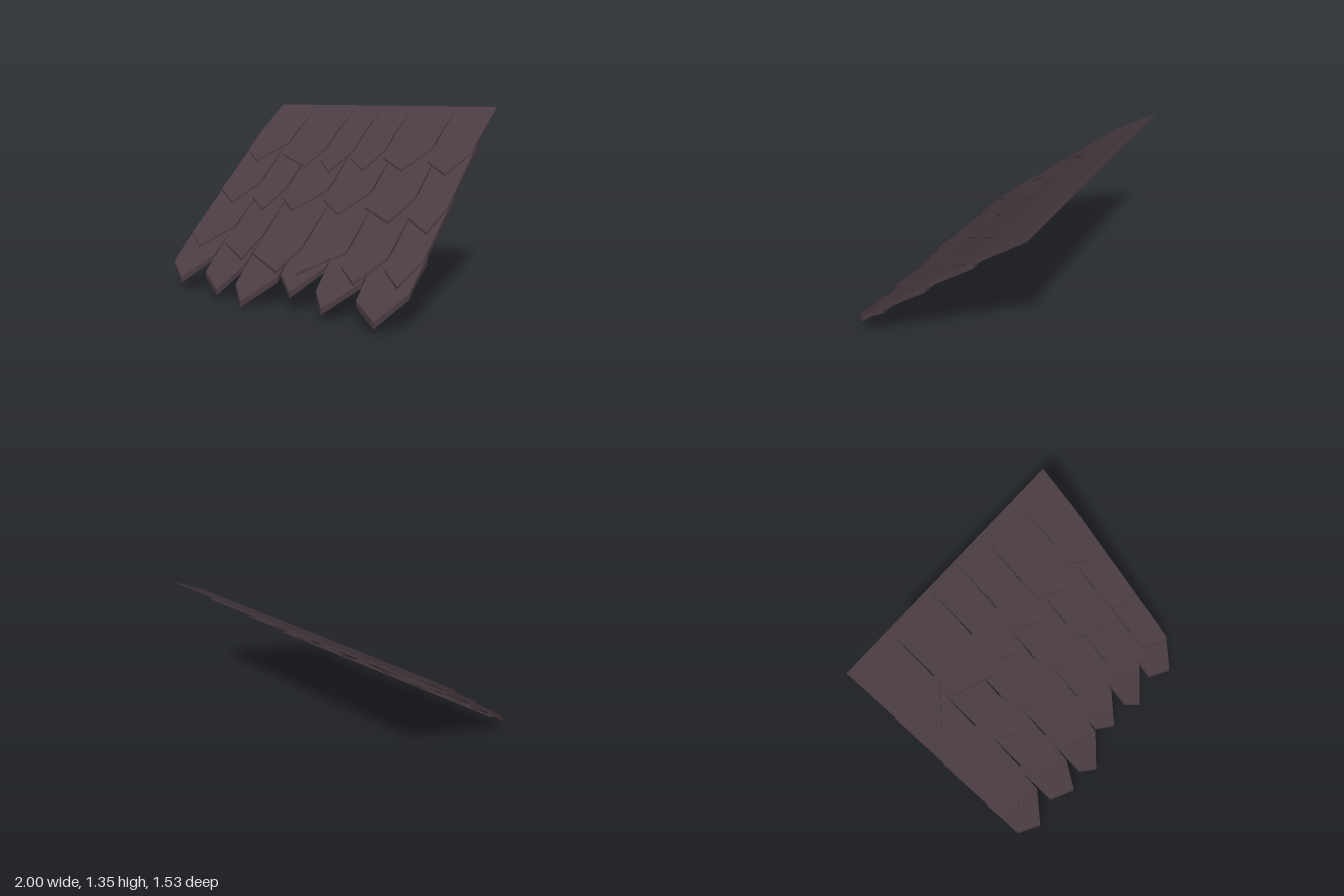
import * as THREE from 'three';

// Rows from ridge to eave: z of start, bend and lowest tip, slab thickness at
// start and tip, inner joints in x, and the [x, z] tip of every shingle
const ROWS = [
  {
    start: -0.765, bend: -0.46, end: -0.13, startThick: 0, tipThick: 0.073,
    joints: [-0.615, -0.22, 0.04, 0.31, 0.685],
    tips: [[-0.83, -0.18], [-0.32, -0.16], [-0.08, -0.13], [0.21, -0.16], [0.52, -0.18], [0.87, -0.17]],
  },
  {
    start: -0.41, bend: -0.12, end: 0.22, startThick: 0.05, tipThick: 0.076,
    joints: [-0.65, -0.37, 0.01, 0.375, 0.735],
    tips: [[-0.8, 0.16], [-0.47, 0.19], [-0.2, 0.17], [0.2, 0.16], [0.62, 0.18], [0.93, 0.22]],
  },
  {
    start: -0.04, bend: 0.24, end: 0.58, startThick: 0.05, tipThick: 0.08,
    joints: [-0.62, -0.32, 0.07, 0.43, 0.75],
    tips: [[-0.84, 0.5], [-0.38, 0.54], [-0.03, 0.58], [0.14, 0.57], [0.59, 0.57], [0.9, 0.55]],
  },
  {
    start: 0.335, bend: 0.47, end: 0.765, startThick: 0.05, tipThick: 0.045,
    joints: [-0.645, -0.325, 0.005, 0.33, 0.65],
    tips: [[-0.83, 0.7], [-0.45, 0.73], [-0.2, 0.765], [0.15, 0.665], [0.44, 0.715], [0.84, 0.73]],
  },
];
const BEND_LIFT = 0.025, BEND_THICK = 0.035;
const LEFT_DROP = 0.088, RIGHT_DROP = 0.175; // how far the corners stay behind the tip
const NARROW = 0.009;

// Underside and top height at depth z: the roof slope, raised at the row's bend
function heights(row, z) {
  const before = z < row.bend;
  const t = before ? (z - row.start) / (row.bend - row.start) : (row.end - z) / (row.end - row.bend);
  const under = 0.677 - 0.885 * z + BEND_LIFT * t;
  const thick = THREE.MathUtils.lerp(before ? row.startThick : row.tipThick, BEND_THICK, t);
  return [under, under + thick];
}

// Five-sided pointed slab, slightly narrower toward its tip
function shingleGeometry(row, x0, x1, [tipX, tipZ]) {
  const { start, bend } = row;
  const leftZ = tipZ - LEFT_DROP, rightZ = tipZ - RIGHT_DROP;
  const inset = (end) => NARROW * (bend - start) / (end - start);
  const outline = [
    [x0, start], [x0 + inset(leftZ), bend], [x0 + NARROW, leftZ],
    [tipX, tipZ],
    [x1 - NARROW, rightZ], [x1 - inset(rightZ), bend], [x1, start],
  ];
  const under = outline.map(([x, z]) => [x, heights(row, z)[0], z]);
  const top = outline.map(([x, z]) => [x, heights(row, z)[1], z]);
  const positions = [];
  const tri = (a, b, c) => positions.push(...a, ...b, ...c);

  // Top and underside
  for (const [a, b, c] of [[0, 1, 5], [0, 5, 6], [1, 2, 3], [1, 3, 4], [1, 4, 5]]) {
    tri(top[a], top[b], top[c]);
    tri(under[a], under[c], under[b]);
  }
  // Rim
  for (let i = 0; i < outline.length; i++) {
    const j = (i + 1) % outline.length;
    tri(top[i], under[i], under[j]);
    tri(top[i], under[j], top[j]);
  }
  const geometry = new THREE.BufferGeometry();
  geometry.setAttribute('position', new THREE.Float32BufferAttribute(positions, 3));
  geometry.computeVertexNormals();
  return geometry;
}

export function createModel() {
  const model = new THREE.Group();
  model.name = 'shingleRoof';
  const slate = new THREE.MeshStandardMaterial({ color: 0x4a3c42 });
  slate.name = 'darkSlate';

  ROWS.forEach((row, r) => {
    const group = new THREE.Group();
    group.name = `shingleRow${r + 1}`;
    const edges = [-1, ...row.joints, 1];
    row.tips.forEach((tip, i) => {
      const mesh = new THREE.Mesh(shingleGeometry(row, edges[i], edges[i + 1], tip), slate);
      mesh.name = `shingle${i + 1}`;
      group.add(mesh);
    });
    model.add(group);
  });
  return model;
}
